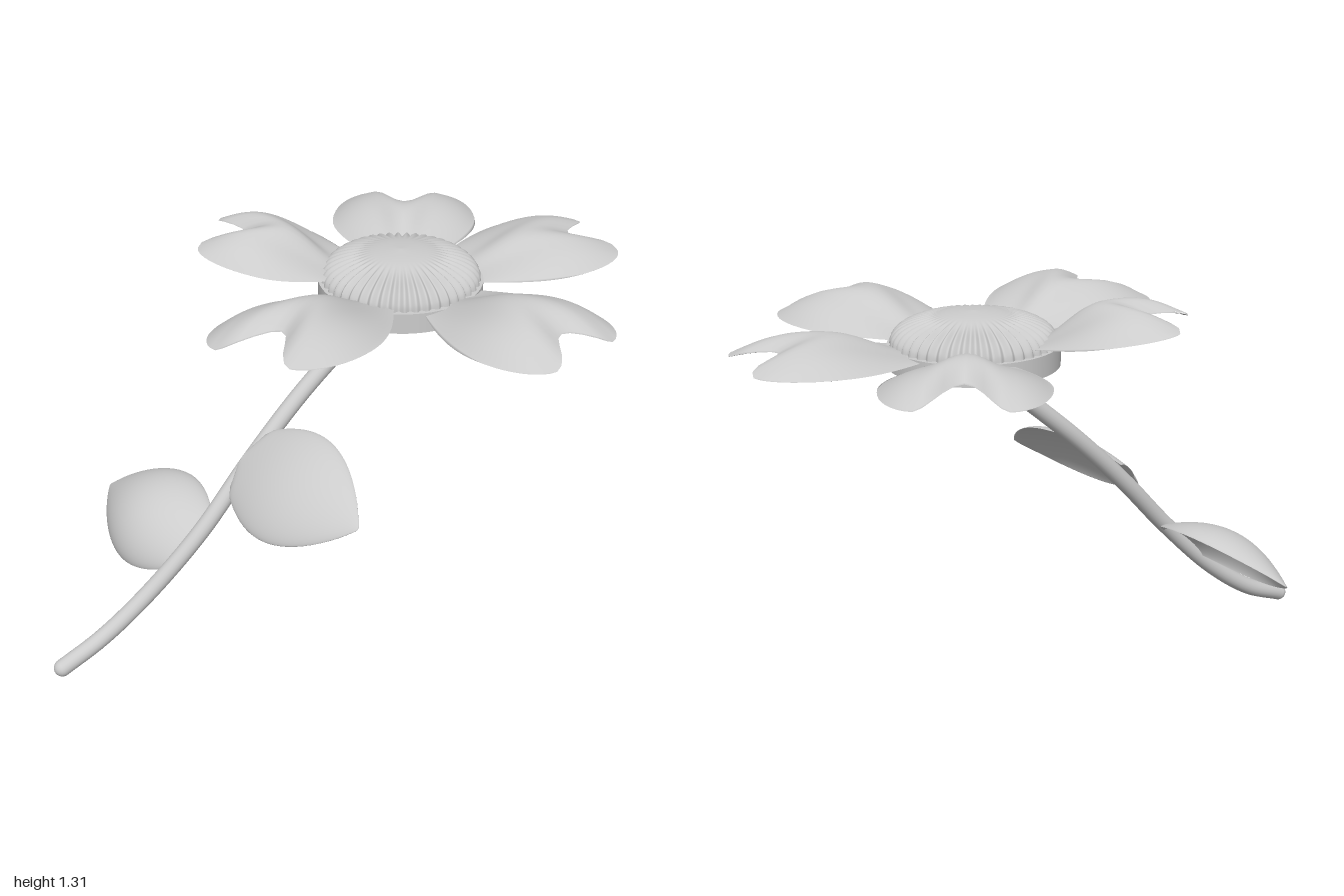
import * as THREE from 'three';
import { ParametricGeometry } from 'three/addons/geometries/ParametricGeometry.js';

const material = new THREE.MeshStandardMaterial({ color: 0xcccccc, side: THREE.DoubleSide });

function addMesh(parent, name, geometry) {
  const mesh = new THREE.Mesh(geometry, material);
  mesh.name = name;
  parent.add(mesh);
  return mesh;
}

// Thin domed blade along +x: s runs -1..1 across, t runs 0..1 along.
// The first half of the loop is the upper skin, the second half the lower one.
function bladeGeometry(along, halfWidth, height, thickness) {
  const geometry = new ParametricGeometry((u, t, target) => {
    const s = -Math.cos(u * Math.PI * 2);
    const rim = Math.sqrt(Math.max(0, 1 - s * s)) * Math.sqrt(Math.max(0.05, 1 - (2 * t - 1) ** 8));
    const under = u > 0.5 ? thickness * rim : 0;
    target.set(along(s, t), height(s, t) - under, s * halfWidth(t));
  }, 56, 28);
  geometry.computeVertexNormals();
  return geometry;
}

// Heart-shaped petal with two rounded lobes and a raised notch
function petalGeometry({ length, notch, width, dome }) {
  const start = 0.2, baseWidth = 0.11;
  const end = (s) => {
    const a = Math.abs(s);
    if (a < 0.5) return notch + (length - notch) * Math.sin(Math.PI * a) ** 2;
    return length - 0.22 * (1 - Math.sqrt(Math.max(0, 1 - (2 * a - 1) ** 2)));
  };
  return bladeGeometry(
    (s, t) => start + t * (end(s) - start),
    (t) => baseWidth + (width - baseWidth) * Math.sin(t * Math.PI / 2),
    (s, t) => dome * (Math.sin(Math.PI * t ** 1.4) * Math.max(0, 1 - s * s) ** 0.7
      + 0.45 * Math.max(0, 1 - 4 * s * s) * t ** 4),
    0.018
  );
}

// Leaf with a blunt base and a pointed tip
function leafGeometry(length, width, dome) {
  return bladeGeometry(
    (s, t) => t * length,
    (t) => width * Math.max(0.01, Math.sin(Math.PI * (0.15 + 0.85 * t))) ** 0.8
      * Math.sqrt(Math.min(1, 0.2 + t / 0.06)),
    (s, t) => dome * Math.sin(Math.PI * (0.08 + 0.92 * t)) * Math.max(0, 1 - s * s) ** 0.7,
    0.02
  );
}

// Fluted dome: radial ribs fade out toward the middle and the rim
function domeGeometry() {
  const profile = new THREE.SplineCurve([
    [0.256, 1.155], [0.25, 1.18], [0.225, 1.207], [0.17, 1.232], [0.09, 1.252], [0.001, 1.26],
  ].map(([r, y]) => new THREE.Vector2(r, y)));
  const geometry = new THREE.LatheGeometry(profile.getPoints(28), 264);
  const p = geometry.attributes.position;
  for (let i = 0; i < p.count; i++) {
    const x = p.getX(i), z = p.getZ(i), r = Math.hypot(x, z);
    const fade = THREE.MathUtils.smoothstep(r, 0.1, 0.21);
    const rib = 0.006 * fade * Math.cos(44 * Math.atan2(z, x));
    p.setXYZ(i, x * (1 + rib / Math.max(r, 0.01)), p.getY(i) + rib * 0.8, z * (1 + rib / Math.max(r, 0.01)));
  }
  geometry.computeVertexNormals();
  return geometry;
}

export function createModel() {
  const model = new THREE.Group();
  model.name = 'flower';

  // Curved stem with a rounded foot
  const stemPath = new THREE.CatmullRomCurve3([
    [-0.32, 0.029, 0.97], [-0.298, 0.09, 0.82], [-0.26, 0.21, 0.65], [-0.205, 0.4, 0.46],
    [-0.18, 0.6, 0.27], [-0.15, 0.8, 0.06], [-0.098, 1.0, -0.17], [-0.07, 1.11, -0.3], [-0.055, 1.18, -0.37],
  ].map((c) => new THREE.Vector3(...c)));
  addMesh(model, 'stem', new THREE.TubeGeometry(stemPath, 64, 0.029, 20));
  addMesh(model, 'stemFoot', new THREE.SphereGeometry(0.029, 20, 14)).position.set(-0.32, 0.029, 0.97);

  // Flower head: open collar, fluted dome and five petals
  const head = new THREE.Group();
  head.name = 'flowerHead';
  head.position.set(-0.03, 0, -0.27);
  model.add(head);
  addMesh(head, 'collarWall', new THREE.CylinderGeometry(0.27, 0.27, 0.068, 64, 1, true)).position.y = 1.124;
  const ledge = addMesh(head, 'collarLedge', new THREE.RingGeometry(0.245, 0.27, 64));
  ledge.rotation.x = -Math.PI / 2;
  ledge.position.y = 1.158;
  addMesh(head, 'centreDome', domeGeometry());

  const petals = [
    { angle: 2.5, length: 0.765, notch: 0.67, width: 0.25, dome: 0.095, tilt: 1.5, roll: 0 },
    { angle: 72, length: 0.745, notch: 0.63, width: 0.235, dome: 0.075, tilt: 2.5, roll: 0 },
    { angle: 135, length: 0.7, notch: 0.545, width: 0.25, dome: 0.08, tilt: 1, roll: 0 },
    { angle: 215, length: 0.66, notch: 0.54, width: 0.215, dome: 0.09, tilt: 9.5, roll: 0 },
    { angle: 282, length: 0.775, notch: 0.63, width: 0.265, dome: 0.09, tilt: 4, roll: 5 },
  ];
  const rad = THREE.MathUtils.degToRad;
  petals.forEach((spec, i) => {
    const petal = addMesh(head, `petal${i + 1}`, petalGeometry(spec));
    petal.position.y = 1.14;
    petal.rotation.set(rad(spec.roll), rad(spec.angle), rad(spec.tilt), 'YZX');
  });

  // Two leaves leaning back along the stem
  const leftLeaf = addMesh(model, 'leftLeaf', leafGeometry(0.54, 0.195, 0.055));
  leftLeaf.position.set(-0.17, 0.63, 0.295);
  leftLeaf.rotation.set(0.73, 0, -0.03);
  const rightLeaf = addMesh(model, 'rightLeaf', leafGeometry(0.52, 0.185, 0.1));
  rightLeaf.position.set(-0.215, 0.355, 0.48);
  rightLeaf.rotation.set(0.65, Math.PI, -0.06);

  return model;
}
